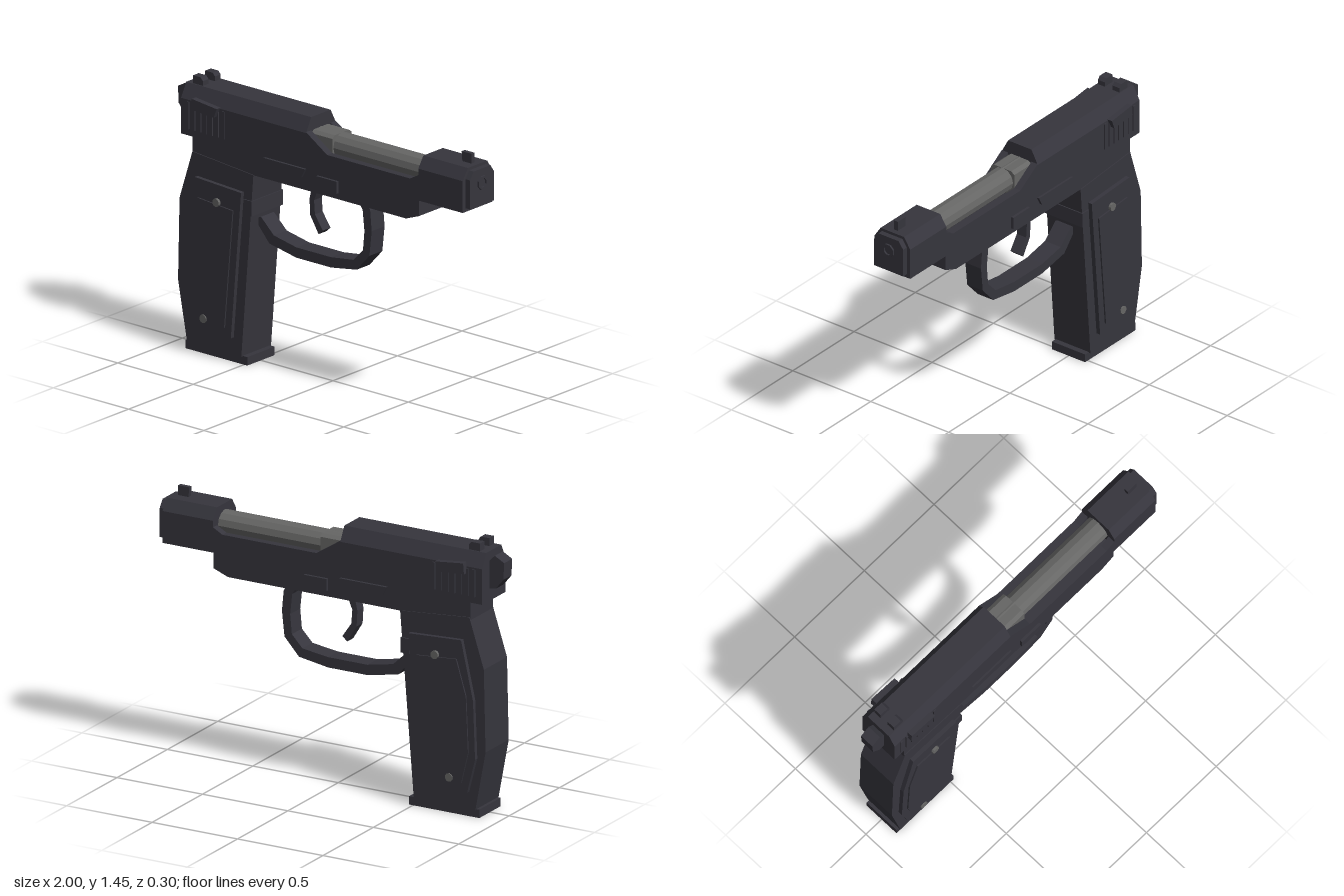
import * as THREE from 'three';

const mat = (name, color) => {
  const m = new THREE.MeshStandardMaterial({ color });
  m.name = name;
  return m;
};

export function createModel() {
  const body = mat('gunmetal', 0x36353d);
  const steel = mat('barrel steel', 0x666665);
  const model = new THREE.Group();

  const add = (name, geo, material = body) => {
    const mesh = new THREE.Mesh(geo, material);
    mesh.name = name;
    model.add(mesh);
    return mesh;
  };
  const shapeOf = pts => new THREE.Shape(pts.map(p => new THREE.Vector2(p[0], p[1])));
  // Side profile (x, y) extruded between two z values
  const plate = (name, pts, z0, z1, material) => {
    const geo = new THREE.ExtrudeGeometry(shapeOf(pts), { depth: z1 - z0, bevelEnabled: false });
    return add(name, geo.translate(0, 0, z0), material);
  };
  const both = (name, pts, z0, z1, material) => {
    plate(name + 'Left', pts, z0, z1, material);
    plate(name + 'Right', pts, -z1, -z0, material);
  };
  // Cross-section (z, y) extruded along x
  const alongX = (name, shape, x0, x1, material) => {
    const geo = new THREE.ExtrudeGeometry(shape, { depth: x1 - x0, bevelEnabled: false });
    return add(name, geo.rotateY(Math.PI / 2).translate(x0, 0, 0), material);
  };
  const rect = (x0, x1, y0, y1) => [[x0, y0], [x1, y0], [x1, y1], [x0, y1]];
  const section = (w, y0, y1, topW, shoulder) => shapeOf([
    [-w, y0], [w, y0], [w, shoulder], [topW, y1], [-topW, y1], [-w, shoulder],
  ]);
  const ngon = (r, n, cy) => Array.from({ length: n }, (_, i) => {
    const a = (i + 0.5) / n * Math.PI * 2;
    return [Math.cos(a) * r, cy + Math.sin(a) * r];
  });

  // Slide: rear block, front block, open middle with side rails
  alongX('slideRear', section(0.115, 1.145, 1.41, 0.075, 1.335), -0.91, -0.08);
  alongX('slideFront', section(0.115, 1.145, 1.375, 0.075, 1.315), 0.665, 0.96);
  both('slideRail', [[-0.08, 1.145], [0.665, 1.145], [0.665, 1.28], [0.61, 1.25], [0.06, 1.25], [-0.08, 1.34]], 0.075, 0.115);
  plate('slideFloor', rect(-0.08, 0.665, 1.145, 1.2), -0.075, 0.075);

  // Barrel, chamber and muzzle
  const barrel = new THREE.CylinderGeometry(0.067, 0.067, 0.75, 12).toNonIndexed();
  barrel.rotateZ(Math.PI / 2).translate(0.295, 1.275, 0);
  barrel.computeVertexNormals();
  add('barrel', barrel, steel);
  alongX('chamber', section(0.075, 1.2, 1.34, 0.055, 1.325), -0.08, 0.06, steel);
  alongX('muzzlePlate', section(0.093, 1.165, 1.36, 0.065, 1.32), 0.96, 0.99);
  const ring = shapeOf(ngon(0.038, 8, 1.285));
  ring.holes.push(new THREE.Path(ngon(0.024, 8, 1.285).map(p => new THREE.Vector2(...p))));
  alongX('muzzleRing', ring, 0.985, 1.0);

  // Sights and hammer
  for (const z of [-0.047, 0.047]) {
    plate('rearSight', [[-0.87, 1.4], [-0.805, 1.4], [-0.805, 1.435], [-0.82, 1.452], [-0.87, 1.452]], z - 0.022, z + 0.022);
  }
  plate('frontSight', [[0.87, 1.37], [0.93, 1.37], [0.93, 1.427], [0.865, 1.427]], -0.012, 0.012);
  plate('hammer', [[-0.9, 1.21], [-0.9, 1.35], [-0.94, 1.39], [-0.995, 1.36], [-0.99, 1.27], [-0.945, 1.215]], -0.04, 0.04);

  // Slide details
  for (let i = 0; i < 7; i++) {
    const x = -0.87 + i * 0.039;
    both('serration', rect(x, x + 0.016, 1.18, 1.325), 0.112, 0.121);
  }
  both('safetyLever', [[-0.82, 1.3], [-0.67, 1.29], [-0.65, 1.34], [-0.815, 1.358]], 0.112, 0.143);

  // Frame
  plate('frame', [[-0.84, 1.05], [-0.43, 1.028], [0.58, 1.028], [0.665, 1.06], [0.665, 1.145], [-0.84, 1.145]], -0.11, 0.11);
  both('slideStop', [[-0.33, 1.095], [-0.105, 1.095], [-0.08, 1.143], [-0.355, 1.143]], 0.105, 0.124);
  both('takedownLever', rect(-0.005, 0.13, 1.06, 1.125), 0.105, 0.124);

  // Trigger and guard
  plate('triggerGuard', [
    [-0.45, 0.74], [-0.38, 0.66], [-0.2, 0.625], [0.03, 0.625], [0.2, 0.652], [0.285, 0.745],
    [0.3, 0.88], [0.29, 0.99], [0.265, 1.035], [0.205, 1.035], [0.24, 0.98], [0.252, 0.87],
    [0.242, 0.765], [0.18, 0.7], [0.03, 0.68], [-0.2, 0.68], [-0.35, 0.71], [-0.435, 0.79], [-0.46, 0.78],
  ], -0.05, 0.05);
  plate('trigger', [
    [-0.11, 1.035], [-0.13, 0.95], [-0.125, 0.865], [-0.07, 0.775], [-0.042, 0.8],
    [-0.094, 0.875], [-0.1, 0.95], [-0.065, 1.035],
  ], -0.03, 0.03);

  // Grip, panels, screws, release button and base plate
  plate('grip', [
    [-0.87, 0.04], [-0.51, 0.04], [-0.43, 1.03], [-0.835, 1.065], [-0.92, 0.8], [-0.93, 0.36],
  ], -0.115, 0.115);
  both('gripPanel', [
    [-0.835, 0.135], [-0.56, 0.135], [-0.492, 0.927], [-0.8, 0.943], [-0.87, 0.63], [-0.882, 0.32],
  ], 0.113, 0.138);
  both('gripInset', [
    [-0.805, 0.185], [-0.598, 0.185], [-0.542, 0.822], [-0.775, 0.84], [-0.832, 0.65], [-0.845, 0.35],
  ], 0.135, 0.146);
  for (const [x, y] of [[-0.65, 0.842], [-0.735, 0.203]]) {
    both('gripScrew', ngon(0.022, 10, y).map(p => [p[0] + x, p[1]]), 0.135, 0.152, steel);
  }
  plate('magazineButton', rect(-0.49, -0.435, 0.81, 0.89), -0.122, 0.122);
  plate('magazineBase', rect(-0.888, -0.478, 0, 0.045), -0.106, 0.106);

  return model;
}
